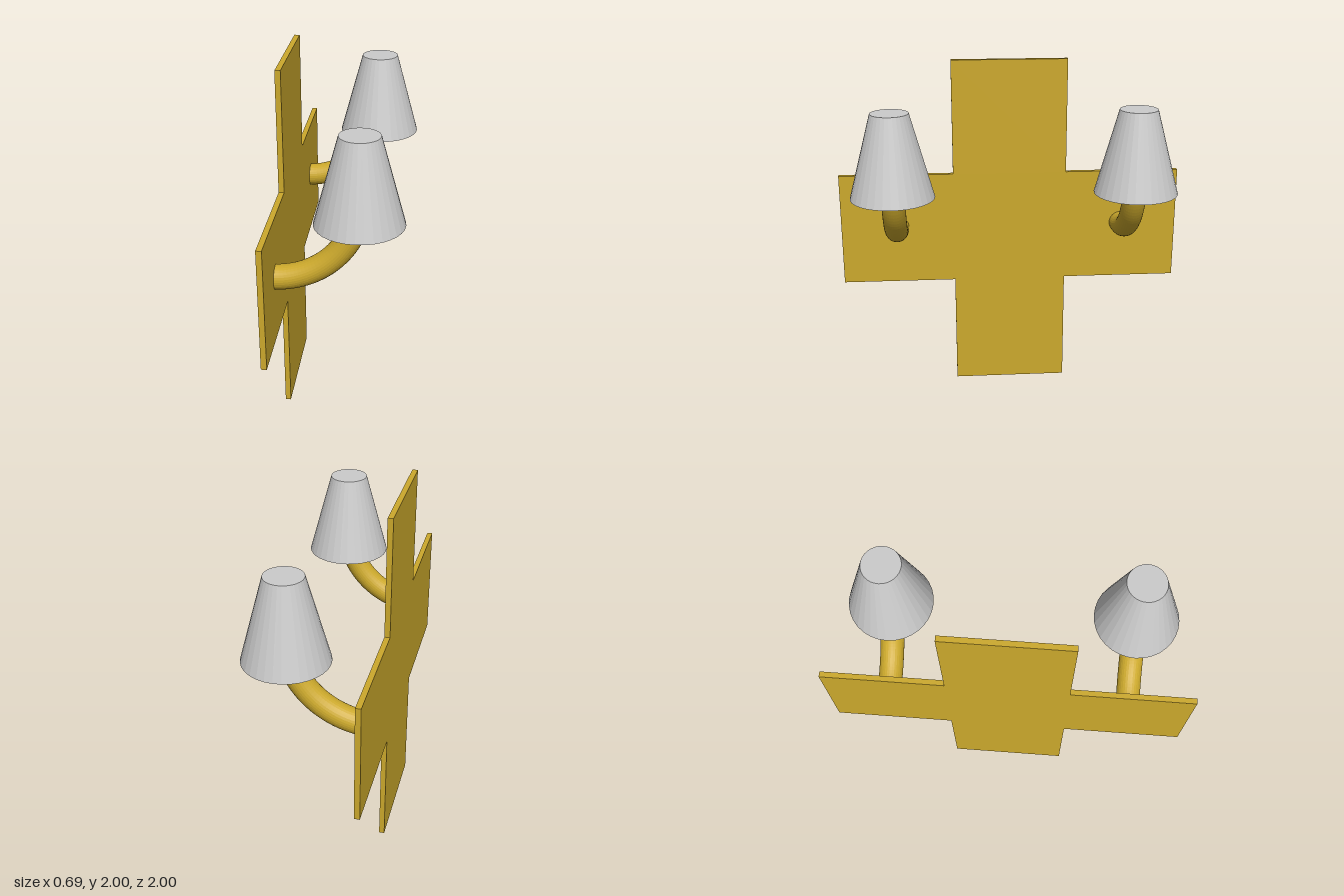
import * as THREE from 'three';

export function createModel() {
  const model = new THREE.Group();
  const gold = new THREE.MeshStandardMaterial({ color: 0xcca92c, flatShading: true });
  const grey = new THREE.MeshStandardMaterial({ color: 0xcccccc, flatShading: true });

  const add = (name, geometry, material, parent) => {
    const mesh = new THREE.Mesh(geometry, material);
    mesh.name = name;
    parent.add(mesh);
    return mesh;
  };

  // Cross-shaped wall plate: outline in (z, y), extruded along x
  const a = 1 / 3, thickness = 0.03;
  const outline = [
    [-a, -1], [a, -1], [a, -a], [1, -a], [1, a], [a, a],
    [a, 1], [-a, 1], [-a, a], [-1, a], [-1, -a], [-a, -a],
  ].map(([u, v]) => new THREE.Vector2(u, v));
  const plateGeometry = new THREE.ExtrudeGeometry(new THREE.Shape(outline), { depth: thickness, bevelEnabled: false });
  const plate = add('wallPlate', plateGeometry, gold, model);
  plate.rotation.y = Math.PI / 2;
  plate.position.set(-0.348, 1, 0);

  // Two lamps, one on each arm of the plate
  const bend = 0.444, armX = -0.332, armY = 1.012;
  for (const side of [1, -1]) {
    const lamp = new THREE.Group();
    lamp.name = side > 0 ? 'frontLamp' : 'backLamp';
    lamp.position.z = side * 2 / 3;
    model.add(lamp);

    // Quarter-circle arm, leaving the plate level and rising into the shade
    const arm = add('arm', new THREE.TorusGeometry(bend, 0.066, 32, 32, Math.PI / 2), gold, lamp);
    arm.rotation.z = -Math.PI / 2;
    arm.position.set(armX, armY + bend, 0);

    // Closed tapered shade
    const shade = add('shade', new THREE.CylinderGeometry(0.104, 0.231, 0.465, 32), grey, lamp);
    shade.position.set(armX + bend, 1.568, 0);
  }
  return model;
}
